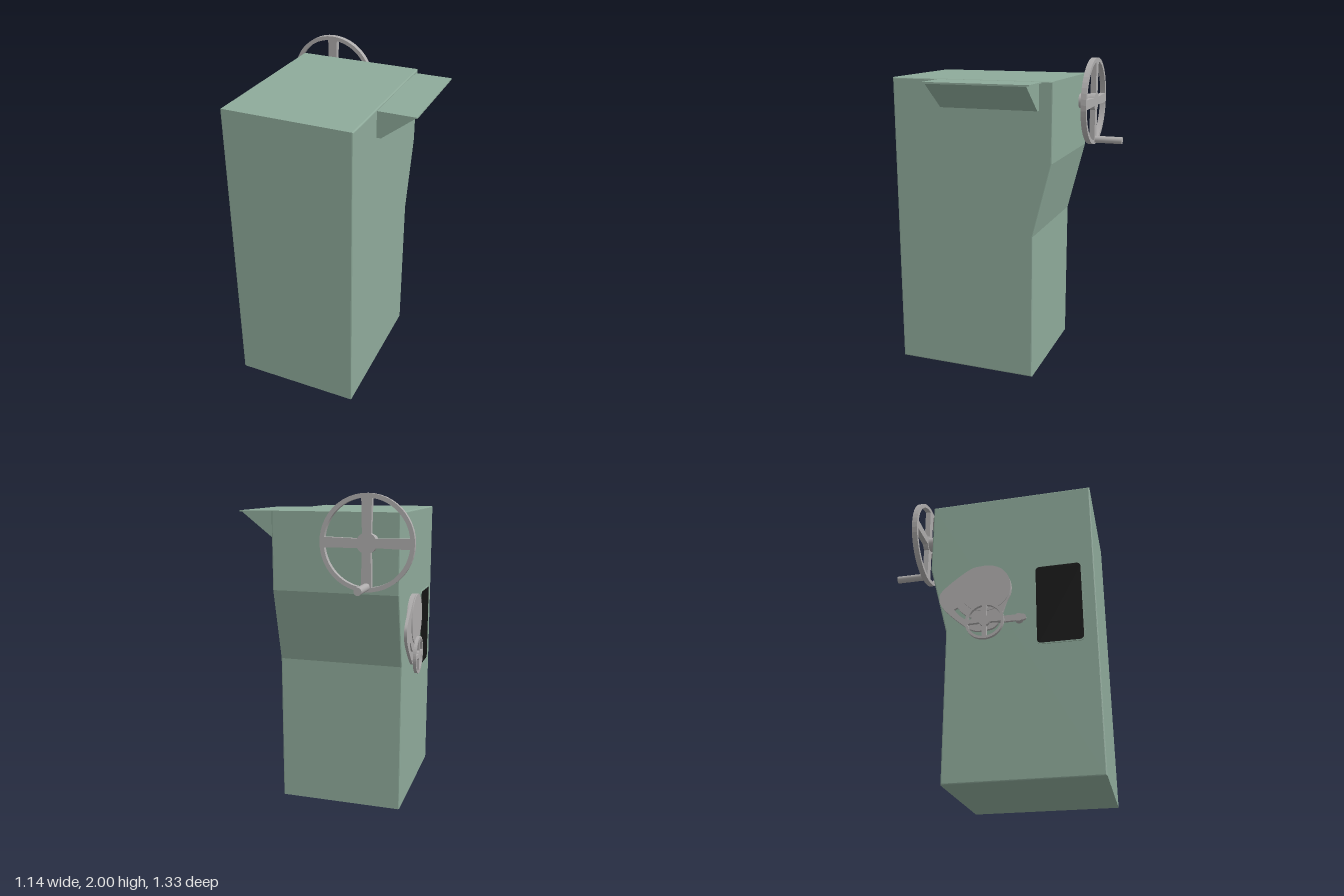
import * as THREE from 'three';

const mat = (name, color) => {
  const m = new THREE.MeshStandardMaterial({ color });
  m.name = name;
  return m;
};

export function createModel() {
  const green = mat('cabinet green', 0x8eaa9a);
  const steel = mat('steel grey', 0xaeacac);
  const black = mat('window black', 0x141414);
  const root = new THREE.Group();

  const add = (name, geometry, material) => {
    const mesh = new THREE.Mesh(geometry, material);
    mesh.name = name;
    root.add(mesh);
    return mesh;
  };
  const poly = (pts) => new THREE.Shape(pts.map(([a, b]) => new THREE.Vector2(a, b)));
  const extrude = (shape, depth, opts = {}) =>
    new THREE.ExtrudeGeometry(shape, { depth, bevelEnabled: false, curveSegments: 24, ...opts });
  // Shape drawn in (z, y), thickness running from x towards -x
  const sidePlate = (name, shape, x, depth, material, opts) => {
    const mesh = add(name, extrude(shape, depth, opts).rotateY(-Math.PI / 2), material);
    mesh.position.x = x;
    return mesh;
  };
  // Cylinder between two points
  const rod = (name, r, from, to) => {
    const a = new THREE.Vector3(...from), b = new THREE.Vector3(...to);
    const mesh = add(name, new THREE.CylinderGeometry(r, r, a.distanceTo(b), 40), steel);
    mesh.position.copy(a).add(b).multiplyScalar(0.5);
    mesh.quaternion.setFromUnitVectors(new THREE.Vector3(0, 1, 0), b.sub(a).normalize());
    return mesh;
  };
  const roundRect = (z0, z1, y0, y1, r) => {
    const s = new THREE.Shape();
    s.absarc(z1 - r, y1 - r, r, 0, Math.PI / 2);
    s.absarc(z0 + r, y1 - r, r, Math.PI / 2, Math.PI);
    s.absarc(z0 + r, y0 + r, r, Math.PI, Math.PI * 1.5);
    s.absarc(z1 - r, y0 + r, r, Math.PI * 1.5, Math.PI * 2);
    return s;
  };
  // Disc pierced so that a rim, a hub and four spokes remain
  const wheelShape = (r, rim, hub, halfSpoke) => {
    const s = new THREE.Shape();
    s.absarc(0, 0, r, 0, Math.PI * 2);
    const ro = r - rim, oa = Math.asin(halfSpoke * 1.2 / ro), ia = Math.asin(halfSpoke / hub);
    for (let i = 0; i < 4; i++) {
      const a = i * Math.PI / 2, b = a + Math.PI / 2;
      const hole = new THREE.Path();
      hole.absarc(0, 0, ro, a + oa, b - oa, false);
      hole.absarc(0, 0, hub, b - ia, a + ia, true);
      s.holes.push(hole);
    }
    return s;
  };

  // Cabinet: side profile with a stepped-in back and softened edges
  const e = 0.008;
  sidePlate('cabinet', poly([
    [0.665 - e, e], [0.665 - e, 1.89 - e], [-0.375 + e, 1.89 - e],
    [-0.375 + e, 1.41], [-0.26 + e, 0.95], [-0.26 + e, e],
  ]), 0.333 - e, 0.796 - 2 * e, green,
  { bevelEnabled: true, bevelSize: e, bevelThickness: e, bevelSegments: 3 });

  // Chute: wedge under a thin lid
  const chute = add('chute', extrude(poly([
    [0.325, 1.72], [0.36, 1.72], [0.56, 1.876], [0.56, 1.88], [0.325, 1.88],
  ]), 0.62), green);
  chute.position.z = -0.29;
  const lid = add('chuteLid', new THREE.BoxGeometry(0.225, 0.008, 0.655), green);
  lid.position.set(0.4575, 1.883, 0.0175);

  // Large handwheel on the back
  const wheel = add('handwheel', extrude(wheelShape(0.28, 0.026, 0.06, 0.026), 0.035), steel);
  wheel.position.set(-0.29, 1.72, -0.485);
  rod('handwheelShaft', 0.047, [-0.29, 1.72, -0.36], [-0.29, 1.72, -0.455]);
  rod('handwheelGrip', 0.023, [-0.29, 1.47, -0.46], [-0.29, 1.47, -0.665]);

  // Window with a thin frame
  const frame = roundRect(0.296, 0.59, 0.805, 1.34, 0.03);
  frame.holes.push(roundRect(0.304, 0.582, 0.813, 1.332, 0.025));
  sidePlate('windowFrame', frame, -0.462, 0.006, green);
  sidePlate('window', roundRect(0.302, 0.584, 0.811, 1.334, 0.026), -0.462, 0.004, black);

  // Adjusting plate with a curved slot
  const plate = new THREE.Shape();
  plate.moveTo(0, 1.365);
  plate.splineThru([
    [-0.1, 1.355], [-0.26, 1.24], [-0.3, 1.17], [-0.26, 1.08], [-0.1, 0.935],
    [0, 0.92], [0.07, 0.95], [0.12, 1.08], [0.15, 1.2], [0.1, 1.33], [0, 1.365],
  ].map(([z, y]) => new THREE.Vector2(z, y)));
  const slot = new THREE.Path();
  slot.absarc(0, 1.2, 0.235, Math.PI * 1.17, Math.PI * 1.36, false);
  slot.absarc(0, 1.2, 0.21, Math.PI * 1.36, Math.PI * 1.17, true);
  plate.holes.push(slot);
  sidePlate('adjustingPlate', plate, -0.479, 0.018, steel);
  rod('adjustingDisc', 0.16, [-0.45, 1.207, -0.006], [-0.502, 1.207, -0.006]);

  // Small handwheel, its axle and the lever beside it
  const small = sidePlate('smallHandwheel', wheelShape(0.12, 0.016, 0.034, 0.012), -0.502, 0.02, steel);
  small.position.y = 0.972;
  small.position.z = -0.005;
  rod('smallAxle', 0.026, [-0.45, 0.972, -0.005], [-0.521, 0.972, -0.005]);
  sidePlate('lever', roundRect(0, 0.245, 0.962, 1.002, 0.019), -0.482, 0.016, steel);
  rod('leverPin', 0.026, [-0.45, 0.982, 0.2], [-0.5, 0.982, 0.2]);

  return root;
}
